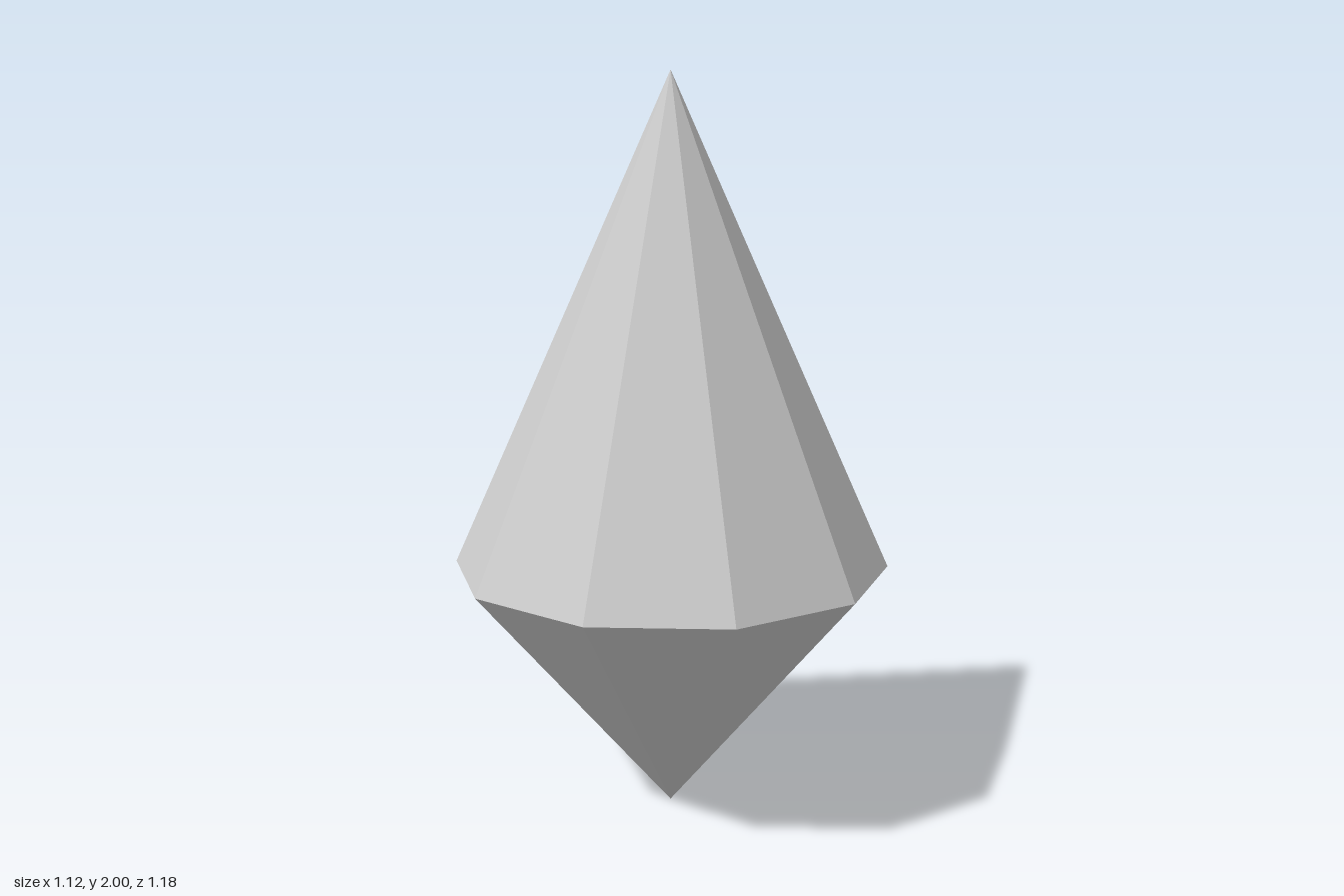
import * as THREE from 'three';

const SIDES = 10;
const RADIUS = 0.59;
const GIRDLE_Y = 0.69;
const HEIGHT = 2;

export function createModel() {
  const gem = new THREE.Group();
  gem.name = 'gem';
  const material = new THREE.MeshStandardMaterial({ color: 0xcccccc, flatShading: true });

  // Open cylinder tapering to a point at one end; a corner faces +z
  const addHalf = (name, topRadius, bottomRadius, y0, y1) => {
    const geometry = new THREE.CylinderGeometry(topRadius, bottomRadius, y1 - y0, SIDES, 1, true);
    geometry.translate(0, (y0 + y1) / 2, 0);
    const mesh = new THREE.Mesh(geometry, material);
    mesh.name = name;
    gem.add(mesh);
  };

  // Tall upper point and shorter lower point, meeting at the girdle
  addHalf('upperPoint', 0, RADIUS, GIRDLE_Y, HEIGHT);
  addHalf('lowerPoint', RADIUS, 0, 0, GIRDLE_Y);

  return gem;
}
